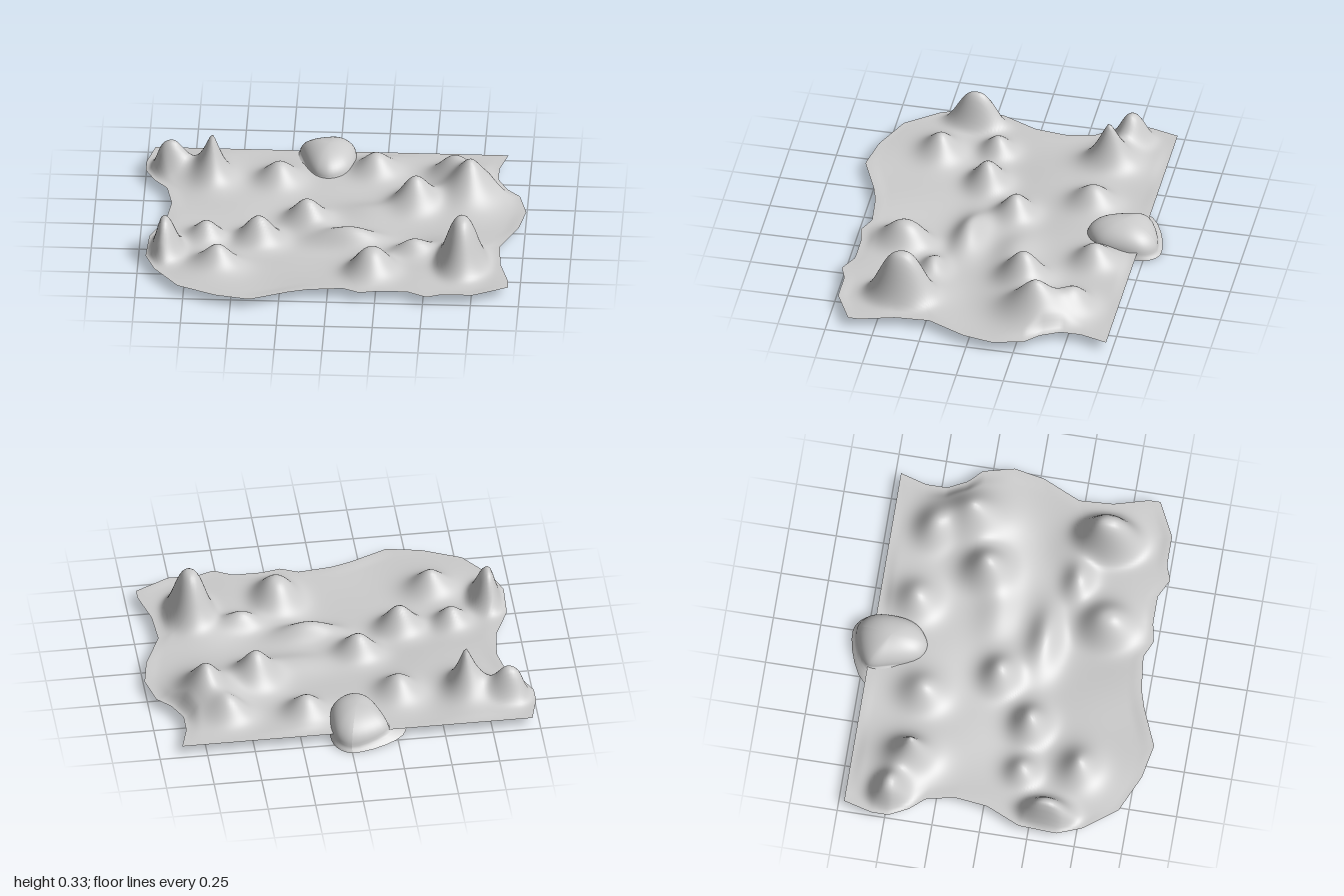
import * as THREE from 'three';

const lerp = THREE.MathUtils.lerp;
const BACK = -0.72;

// outline of the ground sheet: side edges as [z, x], front edge as [x, z]
const leftEdge = [[-0.72, -0.96], [-0.57, -1], [-0.48, -1], [-0.38, -0.95], [-0.3, -0.88], [-0.15, -0.85],
  [0.02, -0.87], [0.2, -0.95], [0.4, -0.96], [0.53, -0.91], [0.7, -0.78]];
const rightEdge = [[-0.72, 0.88], [-0.58, 0.84], [-0.47, 0.84], [-0.37, 0.89], [-0.3, 0.96], [-0.14, 1],
  [0.02, 0.97], [0.22, 0.88], [0.4, 0.89], [0.58, 0.94], [0.64, 0.94]];
const frontEdge = [[-0.78, 0.7], [-0.58, 0.79], [-0.4, 0.825], [-0.2, 0.74], [-0.1, 0.71], [0.08, 0.69],
  [0.17, 0.73], [0.27, 0.71], [0.42, 0.71], [0.52, 0.76], [0.6, 0.73], [0.76, 0.73], [0.88, 0.67], [0.94, 0.64]];

// hills: x, z, peak height above ground, radius x, radius z, steepness
const hills = [
  [0.69, 0.41, 0.275, 0.1, 0.14, 2.8],
  [0.7, -0.31, 0.21, 0.12, 0.15, 1.7],
  [0.42, -0.19, 0.165, 0.1, 0.11, 2],
  [0.22, 0.48, 0.14, 0.11, 0.13, 2.4],
  [0.1, 0.17, 0.09, 0.16, 0.08, 2],
  [0.43, 0.29, 0.08, 0.1, 0.07, 2],
  [0.2, -0.52, 0.11, 0.1, 0.1, 2],
  [0.6, -0.5, 0.1, 0.1, 0.09, 2],
  [-0.14, -0.03, 0.135, 0.1, 0.09, 2],
  [-0.3, -0.41, 0.11, 0.1, 0.11, 2],
  [-0.65, -0.42, 0.25, 0.07, 0.09, 1.4],
  [-0.88, -0.5, 0.15, 0.09, 0.08, 2.4],
  [-0.38, 0.17, 0.15, 0.1, 0.09, 2],
  [-0.65, 0.17, 0.1, 0.08, 0.08, 2],
  [-0.58, 0.46, 0.12, 0.1, 0.09, 1.8],
  [-0.87, 0.33, 0.2, 0.08, 0.12, 2.6],
  // low saddles joining neighbouring hills
  [0.22, -0.1, 0.035, 0.2, 0.1, 2],
  [-0.05, 0.1, 0.03, 0.12, 0.12, 2],
  [-0.78, -0.46, 0.05, 0.12, 0.1, 2],
  [0.6, 0.25, 0.03, 0.15, 0.12, 2],
];

// straight-line lookup along an edge
function along(points, t) {
  let i = 0;
  while (i < points.length - 2 && t > points[i + 1][0]) i++;
  const [a, b] = [points[i], points[i + 1]];
  return lerp(a[1], b[1], (t - a[0]) / (b[0] - a[0]));
}

function groundHeight(x, z, fade) {
  let y = -0.042 * Math.exp(-(((x + 0.1) / 0.5) ** 2) - ((z - 0.2) / 0.32) ** 2);
  y += 0.006 * Math.sin(9 * x + 2 * z) * Math.cos(8 * z - 3 * x);
  for (const [cx, cz, h, rx, rz, p] of hills) {
    y += h * Math.exp(-(Math.hypot((x - cx) / rx, (z - cz) / rz) ** p));
  }
  return Math.max(0.008, 0.05 + y * fade);
}

// sheet from a (columns + 1) x (rows + 1) grid of points
function gridGeometry(columns, rows, pointAt) {
  const positions = [], index = [];
  for (let j = 0; j <= rows; j++) {
    for (let i = 0; i <= columns; i++) positions.push(...pointAt(i / columns, j / rows));
  }
  for (let j = 0; j < rows; j++) {
    for (let i = 0; i < columns; i++) {
      const a = j * (columns + 1) + i, b = a + columns + 1;
      index.push(a, b, a + 1, b, b + 1, a + 1);
    }
  }
  const geometry = new THREE.BufferGeometry();
  geometry.setAttribute('position', new THREE.Float32BufferAttribute(positions, 3));
  geometry.setIndex(index);
  geometry.computeVertexNormals();
  return geometry;
}

function closedCurve(points) {
  return new THREE.CatmullRomCurve3(points.map((p) => new THREE.Vector3(...p)), true);
}

export function createModel() {
  const model = new THREE.Group();
  const material = new THREE.MeshStandardMaterial({ color: 0xcccccc, side: THREE.DoubleSide });

  // hilly ground, flat along its border
  const ground = new THREE.Mesh(gridGeometry(130, 110, (u, v) => {
    const x = lerp(along(leftEdge, lerp(BACK, 0.7, v)), along(rightEdge, lerp(BACK, 0.64, v)), u);
    const z = lerp(BACK, along(frontEdge, lerp(-0.78, 0.94, u)), v);
    const border = Math.min(u, 1 - u, v, 1 - v);
    return [x, groundHeight(x, z, THREE.MathUtils.smoothstep(border, 0, 0.045)), z];
  }), material);
  ground.name = 'ground';
  model.add(ground);

  // boulder at the back: dome outline, and the thin skirt it spreads into below the ground
  const foot = closedCurve([[0.0, 0.02, -0.81], [0.07, 0.03, -0.76], [0.09, 0.05, -0.65], [0.06, 0.05, -0.5],
    [-0.04, 0.05, -0.43], [-0.12, 0.05, -0.46], [-0.19, 0.05, -0.62], [-0.2, 0.045, -0.73]]);
  const rim = closedCurve([[0.0, 0, -0.83], [0.08, 0.005, -0.77], [0.1, 0.02, -0.65], [0.08, 0.04, -0.47],
    [-0.04, 0.04, -0.41], [-0.17, 0.04, -0.42], [-0.3, 0.035, -0.55], [-0.28, 0.015, -0.73]]);
  const boulder = new THREE.Mesh(gridGeometry(40, 18, (u, v) => {
    const f = foot.getPoint(u), r = rim.getPoint(u);
    if (v > 0.8) return f.lerp(r, (v - 0.8) / 0.2).toArray();
    const a = (v / 0.8) * Math.PI / 2;
    return [lerp(-0.05, f.x, Math.sin(a)), lerp(f.y, 0.157, Math.cos(a)), lerp(-0.62, f.z, Math.sin(a))];
  }), material);
  boulder.name = 'boulder';
  model.add(boulder);

  return model;
}
